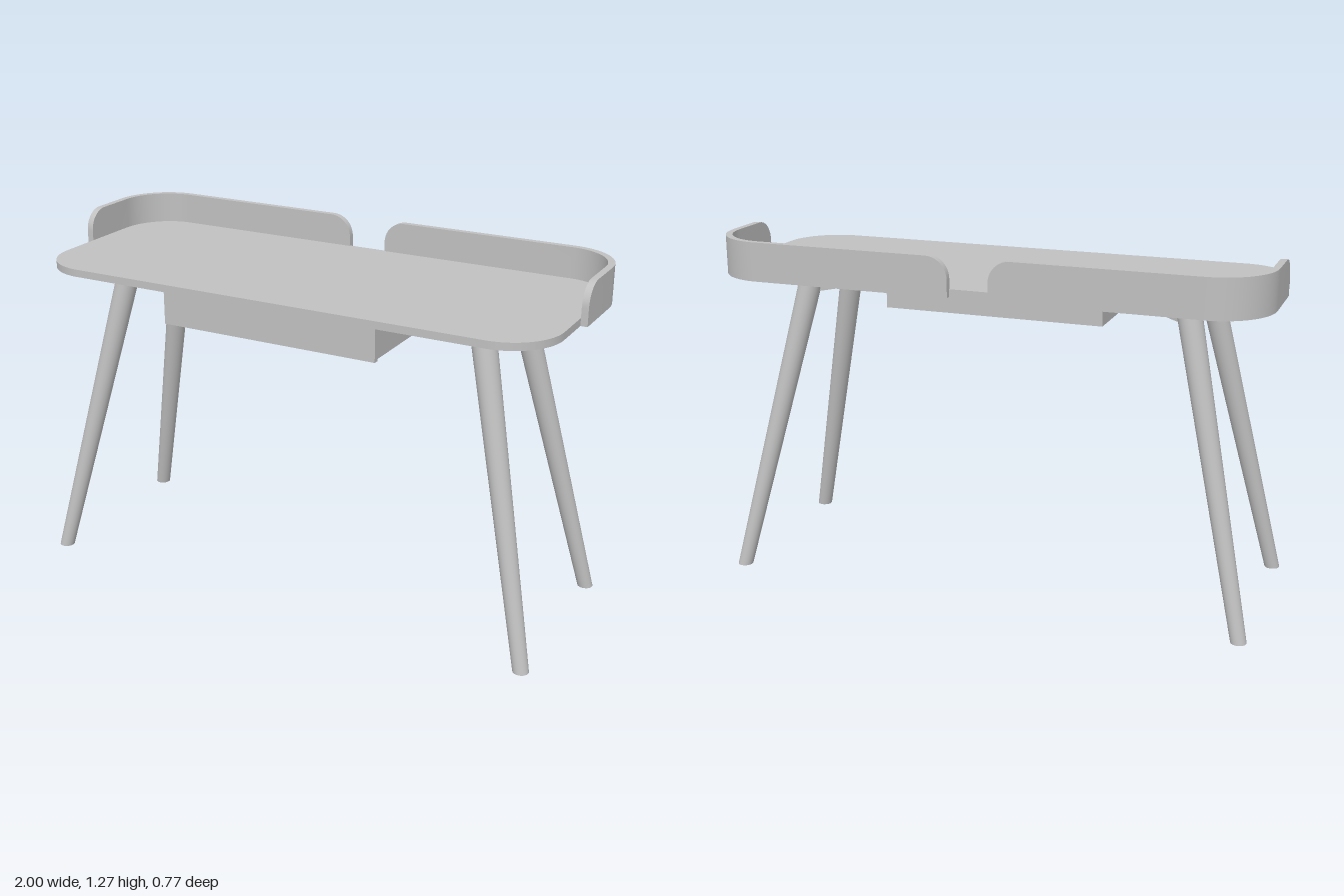
import * as THREE from 'three';
import { toCreasedNormals } from 'three/addons/utils/BufferGeometryUtils.js';

const UNDER = 1.135; // underside of the desktop

// Rounded rectangle outline
function roundedRect(x0, z0, x1, z1, r) {
  const s = new THREE.Shape();
  s.moveTo(x0 + r, z0);
  s.lineTo(x1 - r, z0);
  s.absarc(x1 - r, z0 + r, r, -Math.PI / 2, 0);
  s.absarc(x1 - r, z1 - r, r, 0, Math.PI / 2);
  s.absarc(x0 + r, z1 - r, r, Math.PI / 2, Math.PI);
  s.absarc(x0 + r, z0 + r, r, Math.PI, Math.PI * 1.5);
  return s;
}

// Upright rim bent round one back corner, with rounded upper ends
function rimGeometry(side) {
  const gap = 0.073, end = 0.038, X = 1, Z = -0.388, R = 0.2, T = 0.024;
  const height = 0.14, round = 0.078;
  const back = X - R - gap, arc = R * Math.PI / 2, flank = end - (Z + R);
  const total = back + arc + flank;
  // Outer point and outward direction at distance d along the rim
  const at = (d) => {
    if (d < back) return [gap + d, Z, 0, -1];
    if (d > back + arc) return [X, Z + R + d - back - arc, 1, 0];
    const a = (d - back) / R;
    return [X - R + R * Math.sin(a), Z + R - R * Math.cos(a), Math.sin(a), -Math.cos(a)];
  };
  const stops = [];
  for (let i = 0; i <= 10; i++) {
    const e = round * (1 - Math.cos(i / 10 * Math.PI / 2));
    stops.push(e, total - e);
  }
  for (let i = 0; i <= 20; i++) stops.push(back + arc * i / 20);
  stops.sort((a, b) => a - b);

  const pos = [], idx = [];
  for (const d of stops) {
    const [x, z, nx, nz] = at(d);
    const e = Math.min(round, d, total - d);
    const top = UNDER + height - round + Math.sqrt(Math.max(0, round ** 2 - (round - e) ** 2));
    const xi = x - nx * T, zi = z - nz * T;
    pos.push(side * x, UNDER, z, side * x, top, z, side * xi, top, zi, side * xi, UNDER, zi);
  }
  const tri = (a, b, c) => (side > 0 ? idx.push(a, b, c) : idx.push(a, c, b));
  const quad = (a, b, c, d) => { tri(a, b, c); tri(a, c, d); };
  for (let i = 0; i < stops.length - 1; i++) {
    for (let k = 0; k < 4; k++) {
      const a = i * 4 + k, b = i * 4 + (k + 1) % 4;
      quad(a, b, b + 4, a + 4);
    }
  }
  const last = (stops.length - 1) * 4;
  quad(3, 2, 1, 0);
  quad(last, last + 1, last + 2, last + 3);

  const g = new THREE.BufferGeometry();
  g.setAttribute('position', new THREE.Float32BufferAttribute(pos, 3));
  g.setIndex(idx);
  return toCreasedNormals(g, 0.6);
}

export function createModel() {
  const model = new THREE.Group();
  model.name = 'desk';
  const grey = new THREE.MeshStandardMaterial({ color: 0xc0c0c0 });
  grey.name = 'light grey';
  const add = (name, geometry) => {
    const m = new THREE.Mesh(geometry, grey);
    m.name = name;
    model.add(m);
    return m;
  };

  // Desktop board
  const board = new THREE.ExtrudeGeometry(roundedRect(-0.976, -0.385, 0.976, 0.37, 0.19),
    { depth: 0.027, bevelEnabled: false, curveSegments: 20 });
  board.rotateX(-Math.PI / 2).translate(0, UNDER, 0);
  add('desktop', toCreasedNormals(board, 0.6));

  // Rims round the two back corners
  add('leftRim', rimGeometry(1));
  add('rightRim', rimGeometry(-1));

  // Drawer with a slightly wider front panel
  add('drawerBox', new THREE.BoxGeometry(0.808, 0.113, 0.52)).position.set(0, 1.0785, 0.105);
  add('drawerFront', new THREE.BoxGeometry(0.82, 0.115, 0.02)).position.set(0, 1.0775, 0.375);

  const midZ = 0.015;
  for (const sx of [1, -1]) {
    for (const sz of [1, -1]) {
      const name = (sz > 0 ? 'front' : 'back') + (sx > 0 ? 'Left' : 'Right');

      // Tapered leg, sheared outwards so that foot and top stay level
      const leg = new THREE.CylinderGeometry(0.044, 0.028, UNDER, 28);
      leg.translate(0, UNDER / 2, 0);
      const shear = new THREE.Matrix4().set(
        1, 0, -0, 0,
        0, 1, 0, 0,
        0, 0, 1, 0,
        0, 0, 0, 1);
      shear.elements[4] = -sx * 0.26 / UNDER;
      shear.elements[6] = -sz * 0.163 / UNDER;
      leg.applyMatrix4(shear).translate(sx * 0.957, 0, midZ + sz * 0.333);
      add(name + 'Leg', leg);

      // Bracket from the leg top to the middle, tapering and rounded at its tip
      const from = new THREE.Vector2(sx * 0.70, midZ + sz * 0.17);
      const to = new THREE.Vector2(sx * 0.425, midZ + sz * 0.008);
      const run = to.clone().sub(from), len = run.length();
      const s = new THREE.Shape();
      s.moveTo(0, 0);
      s.lineTo(0, -0.075);
      s.lineTo(len - 0.035, -0.045);
      s.quadraticCurveTo(len, -0.04, len, 0);
      const bracket = new THREE.ExtrudeGeometry(s, { depth: 0.04, bevelEnabled: false, curveSegments: 8 });
      bracket.translate(0, 0, -0.02).rotateY(Math.atan2(-run.y, run.x)).translate(from.x, UNDER, from.y);
      add(name + 'Bracket', toCreasedNormals(bracket, 0.6));
    }
  }
  return model;
}
